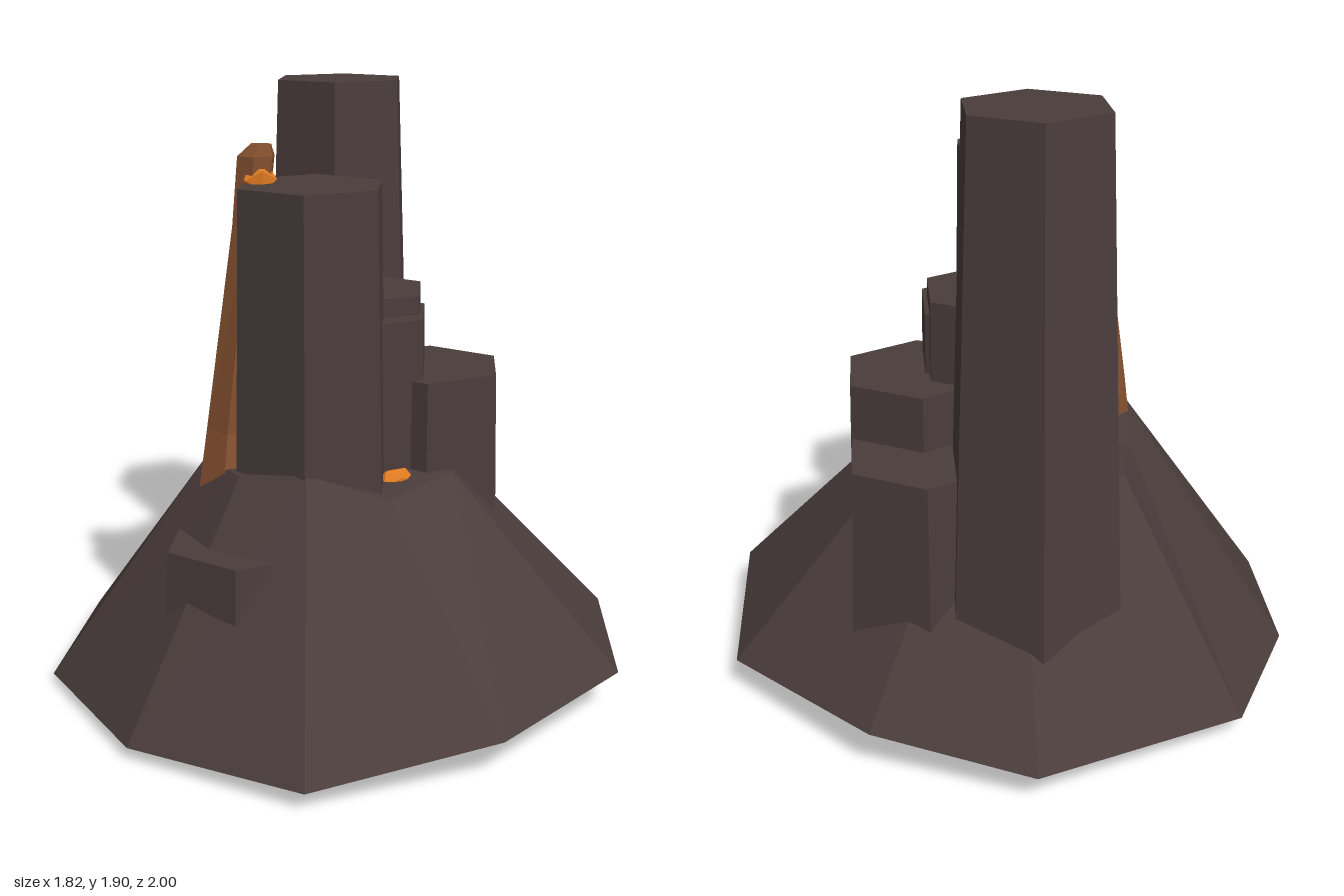
import * as THREE from 'three';

const rock = new THREE.MeshStandardMaterial({ color: 0x4a3d3c });
rock.name = 'basalt';
const ember = new THREE.MeshStandardMaterial({ color: 0xe07b22 });
ember.name = 'glowing orange';
const crust = new THREE.MeshStandardMaterial({ color: 0x84502f });
crust.name = 'cooled orange';
for (const m of [rock, ember, crust]) m.flatShading = true;

// Closed solid skinned over rings of [x, y, z]; rings run from +z towards +x
function loft(rings) {
  const pos = [];
  const tri = (a, b, c) => pos.push(...a, ...b, ...c);
  const centre = (r) => [0, 1, 2].map((k) => r.reduce((s, p) => s + p[k], 0) / r.length);
  const n = rings[0].length;
  const last = rings[rings.length - 1];
  const low = centre(rings[0]);
  const high = centre(last);
  for (let i = 0; i < n; i++) {
    const j = (i + 1) % n;
    for (let k = 0; k + 1 < rings.length; k++) {
      const a = rings[k], b = rings[k + 1];
      tri(a[i], a[j], b[j]);
      tri(a[i], b[j], b[i]);
    }
    tri(low, rings[0][j], rings[0][i]);
    tri(high, last[i], last[j]);
  }
  const g = new THREE.BufferGeometry();
  g.setAttribute('position', new THREE.Float32BufferAttribute(pos, 3));
  g.computeVertexNormals();
  return g;
}

// Elliptical ring of n points
function ring(x, y, z, rx, rz, n = 6, turn = 0) {
  return Array.from({ length: n }, (_, i) => {
    const t = turn + (i / n) * Math.PI * 2;
    return [x + Math.sin(t) * rx, y, z + Math.cos(t) * rz];
  });
}

export function createModel() {
  const group = new THREE.Group();
  const add = (name, geometry, material) => {
    const mesh = new THREE.Mesh(geometry, material);
    mesh.name = name;
    group.add(mesh);
    return mesh;
  };

  // Sloping ten-sided mound
  const foot = [
    [-0.015, 0.06, 1.0], [0.54, 0.12, 0.78], [0.91, 0.13, 0.33], [0.91, 0.095, -0.32],
    [0.49, 0.125, -0.8], [0.015, 0.085, -1.0], [-0.64, 0.06, -0.73], [-0.88, 0.05, -0.27],
    [-0.91, 0.03, 0.27], [-0.565, 0.04, 0.75],
  ];
  const rim = [
    [-0.06, 0.79, 0.43], [0.19, 0.69, 0.35], [0.38, 0.71, 0.12], [0.38, 0.69, -0.13],
    [0.2, 0.7, -0.36], [0.0, 0.7, -0.42], [-0.32, 0.72, -0.37], [-0.38, 0.7, -0.1],
    [-0.41, 0.75, 0.17], [-0.27, 0.76, 0.36],
  ];
  add('mound', loft([foot, rim]), rock);

  // Tapered hexagonal columns: name, x, z, height, top radius, bottom radius
  const columns = [
    ['tallBackColumn', -0.025, -0.488, 1.9, 0.228, 0.302],
    ['frontColumn', -0.063, 0.18, 1.63, 0.24, 0.275],
    ['middleColumn', -0.09, -0.12, 1.365, 0.22, 0.25],
    ['innerStepColumn', 0.06, -0.11, 1.255, 0.235, 0.255],
    ['outerStepColumn', 0.07, -0.04, 1.195, 0.24, 0.26],
    ['leftColumn', 0.297, -0.12, 1.0, 0.25, 0.275],
    ['leftBackColumn', 0.297, -0.375, 0.825, 0.25, 0.28],
    ['buriedFrontColumn', -0.25, 0.37, 0.56, 0.257, 0.3],
  ];
  for (const [name, x, z, h, top, bottom] of columns) {
    add(name, new THREE.CylinderGeometry(top, bottom, h, 6), rock).position.set(x, h / 2, z);
  }

  // Tall leaning shard on the right flank
  add('tallShard', loft([
    ring(-0.33, 0.67, 0.17, 0.1, 0.15),
    ring(-0.32, 0.86, 0.15, 0.085, 0.11),
    ring(-0.255, 1.5, 0.135, 0.06, 0.06),
    ring(-0.235, 1.71, 0.135, 0.062, 0.055),
    ring(-0.22, 1.745, 0.14, 0.035, 0.03),
  ]), crust);

  // Shorter shard standing on the middle column
  add('shortShard', loft([
    ring(-0.09, 1.3, -0.17, 0.09, 0.06, 5),
    ring(-0.09, 1.5, -0.17, 0.06, 0.04, 5),
    ring(-0.08, 1.615, -0.165, 0.02, 0.015, 5),
  ]), crust);

  // Bright crystals: name, position, half sizes, turn about y
  const crystals = [
    ['tallShardCrystal', [-0.23, 1.64, 0.14], [0.06, 0.055, 0.07], 0.4],
    ['shortShardCrystal', [-0.1, 1.5, -0.145], [0.09, 0.09, 0.06], 0.3],
    ['leftRimCrystal', [0.2, 0.69, 0.17], [0.07, 0.045, 0.05], 0.6],
    ['rightRimCrystal', [-0.28, 0.72, -0.08], [0.04, 0.05, 0.1], 0],
  ];
  for (const [name, p, s, turn] of crystals) {
    const mesh = add(name, new THREE.IcosahedronGeometry(1, 0), ember);
    mesh.position.set(...p);
    mesh.scale.set(...s);
    mesh.rotation.y = turn;
  }
  return group;
}
